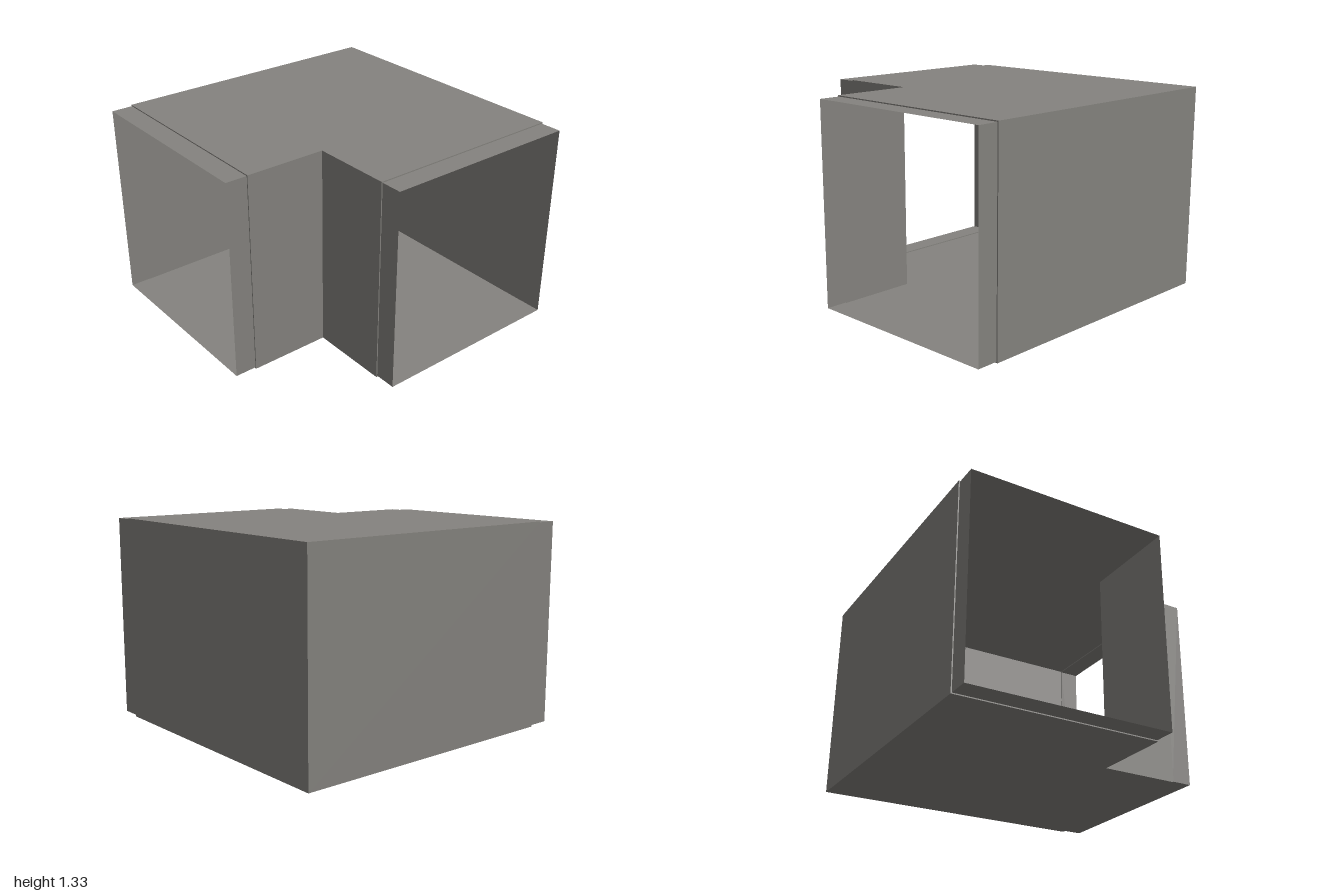
import * as THREE from 'three';

const H = 1.333;      // duct height
const IN = -0.333;    // position of the inside corner (mirrored in z)
const COLLAR = 0.86;  // where the narrowed end collars begin
const INSET = 0.007;  // how far a collar sits inside the duct

// Rectangular section: outer and inner wall positions, bottom then top
function ring(outer, inner, d) {
  const [ox, oz] = outer, [ix, iz] = inner;
  return [[ox, d, oz], [ix, d, iz], [ix, H - d, iz], [ox, H - d, oz]];
}
const leftRing = (x, d) => ring([x, -1 + d], [x, -IN - d], d);
const frontRing = (z, d) => ring([1 - d, z], [IN + d, z], d);

// Open sheet-metal skin joining successive sections
function skin(name, rings, material) {
  const pos = [];
  for (let i = 0; i < rings.length - 1; i++) {
    const a = rings[i], b = rings[i + 1];
    for (let k = 0; k < 4; k++) {
      const n = (k + 1) % 4;
      for (const p of [a[k], b[k], b[n], a[k], b[n], a[n]]) pos.push(...p);
    }
  }
  const geo = new THREE.BufferGeometry();
  geo.setAttribute('position', new THREE.Float32BufferAttribute(pos, 3));
  geo.computeVertexNormals();
  const mesh = new THREE.Mesh(geo, material);
  mesh.name = name;
  return mesh;
}

export function createModel() {
  const group = new THREE.Group();
  group.name = 'ductElbow';
  const metal = new THREE.MeshStandardMaterial({ color: 0x85837f, side: THREE.DoubleSide });
  metal.name = 'grey sheet metal';

  // Square bend, mitred from the outside corner to the inside corner
  const mitre = ring([1, -1], [IN, -IN], 0);
  group.add(skin('elbowBody', [leftRing(-COLLAR, 0), mitre, frontRing(COLLAR, 0)], metal));

  // Narrowed collars with their small steps at both open ends
  group.add(skin('sideCollar',
    [leftRing(-1, INSET), leftRing(-COLLAR, INSET), leftRing(-COLLAR, 0)], metal));
  group.add(skin('frontCollar',
    [frontRing(COLLAR, 0), frontRing(COLLAR, INSET), frontRing(1, INSET)], metal));
  return group;
}
